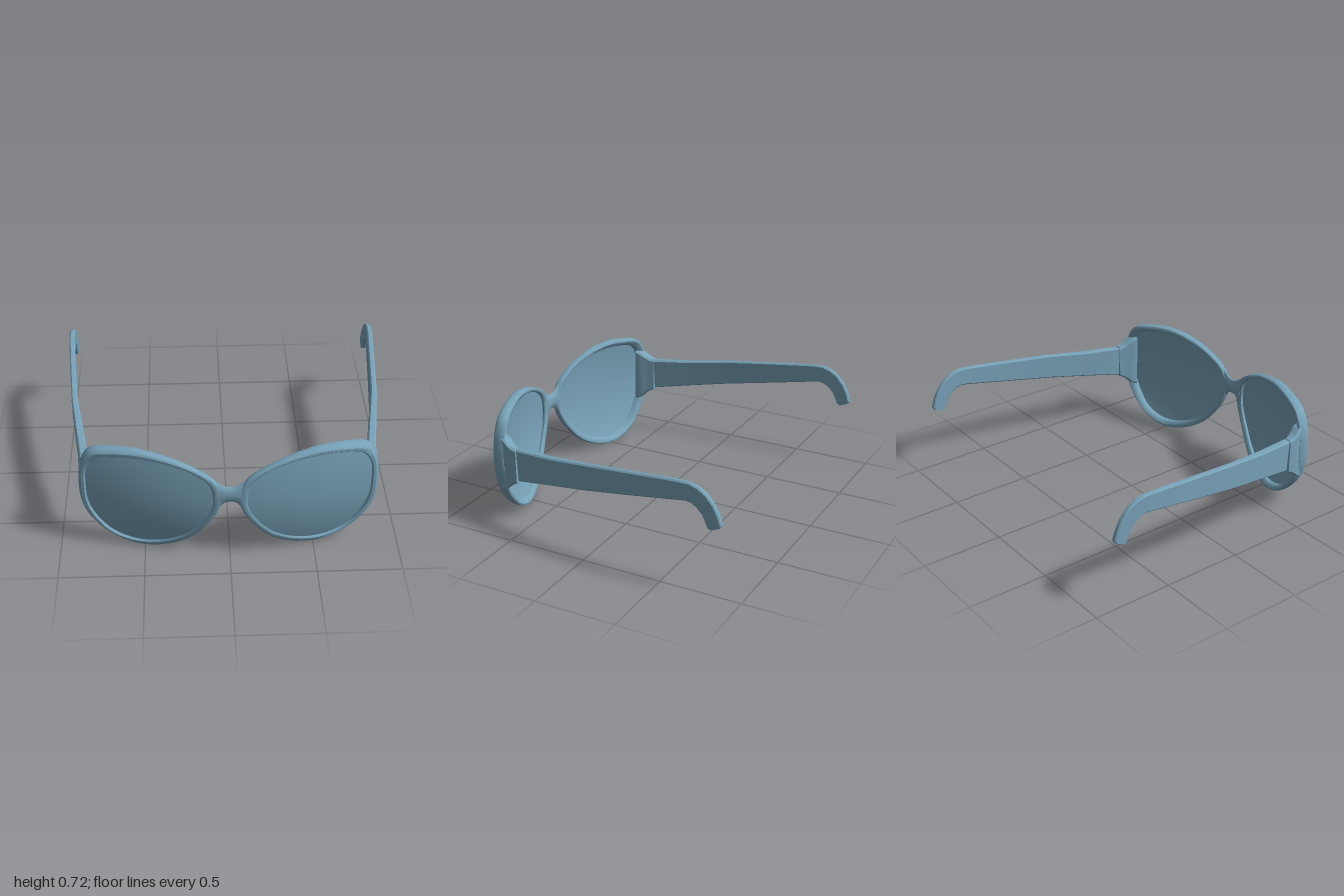
import * as THREE from 'three';
import { toCreasedNormals } from 'three/addons/utils/BufferGeometryUtils.js';

const V = (x, y, z) => new THREE.Vector3(x, y, z);

// Skin a list of point loops into a solid; closed joins last loop to first, otherwise ends are capped.
function loft(rings, closed = false, crease = 0.6) {
  const n = rings[0].length, m = rings.length, pts = rings.flat(), tris = [];
  for (let i = 0; i < (closed ? m : m - 1); i++) {
    for (let j = 0; j < n; j++) {
      const a = i * n + j, b = i * n + (j + 1) % n;
      const c = ((i + 1) % m) * n + (j + 1) % n, d = ((i + 1) % m) * n + j;
      tris.push([a, b, c], [a, c, d]);
    }
  }
  if (!closed) {
    for (const [start, last] of [[0, false], [(m - 1) * n, true]]) {
      const mid = V(0, 0, 0);
      for (let j = 0; j < n; j++) mid.addScaledVector(pts[start + j], 1 / n);
      const k = pts.push(mid) - 1;
      for (let j = 0; j < n; j++) {
        const a = start + j, b = start + (j + 1) % n;
        tris.push(last ? [a, b, k] : [b, a, k]);
      }
    }
  }
  // Turn the solid outward if its signed volume is negative
  const origin = pts[0], p = V(0, 0, 0), q = V(0, 0, 0), r = V(0, 0, 0);
  let volume = 0;
  for (const [a, b, c] of tris) {
    p.subVectors(pts[a], origin); q.subVectors(pts[b], origin); r.subVectors(pts[c], origin);
    volume += p.dot(q.cross(r));
  }
  if (volume < 0) tris.forEach((t) => t.reverse());
  const g = new THREE.BufferGeometry().setFromPoints(pts);
  g.setIndex(tris.flat());
  return toCreasedNormals(g, crease);
}

// Wrap-around curve of the front: z at the middle of the frame
const faceZ = (x, y) => {
  const dy = y - 0.42;
  return 0.845 - 0.26 * x * x - (dy > 0 ? 0.3 : 0.45) * dy * dy;
};

// Matching outlines of the rim (outer) and the lens opening (inner)
const outerPts = [[.05, .45], [.085, .55], [.18, .62], [.32, .68], [.51, .718], [.67, .707], [.8, .67],
  [.855, .58], [.872, .43], [.86, .29], [.81, .18], [.7, .065], [.55, .003], [.4, .02], [.25, .1], [.13, .24], [.065, .36]];
const innerPts = [[.1, .44], [.12, .53], [.2, .6], [.33, .65], [.5, .675], [.65, .665], [.77, .63],
  [.82, .55], [.83, .42], [.82, .3], [.77, .19], [.68, .09], [.55, .045], [.42, .06], [.28, .13], [.17, .25], [.11, .36]];
const outline = (list) => {
  const curve = new THREE.CatmullRomCurve3(list.map(([x, y]) => V(x, y, 0)), true, 'centripetal');
  return Array.from({ length: 68 }, (_, i) => curve.getPoint(i / 68));
};
const outer = outline(outerPts), inner = outline(innerPts);

// Rounded rim section: u runs from outer to inner edge, w across the thickness
const rimSection = [[0, 0.4], [0.12, 0.8], [0.4, 1], [0.8, 0.9], [1, 0.6], [1, -0.6], [0.8, -0.9], [0.4, -1], [0.12, -0.8], [0, -0.4]];

function rim(s) {
  return loft(outer.map((o, i) => {
    const h = 0.022 + 0.018 * THREE.MathUtils.smoothstep(o.x, 0.1, 0.85);
    return rimSection.map(([u, w]) => {
      const p = o.clone().lerp(inner[i], u);
      return V(s * p.x, p.y, faceZ(p.x, p.y) + w * h);
    });
  }), true);
}

// Thin domed lens: loops run from the back centre to the edge and return over the front
function lens(s) {
  const steps = [0.02, 0.25, 0.5, 0.75, 0.9, 1.02];
  const layer = (k, offset) => inner.map((p) => {
    const x = 0.48 + (p.x - 0.48) * k, y = 0.37 + (p.y - 0.37) * k;
    return V(s * x, y, faceZ(x, y) + 0.008 + offset);
  });
  return loft([...steps.map((k) => layer(k, -0.006)), ...steps.reverse().map((k) => layer(k, 0.006))]);
}

// Box-like section with cut corners between low and high corners in x and y
const chamfered = (x0, x1, y0, y1, z, c) => [
  [x0 + c, y0], [x1 - c, y0], [x1, y0 + c], [x1, y1 - c],
  [x1 - c, y1], [x0 + c, y1], [x0, y1 - c], [x0, y0 + c],
].map(([x, y]) => V(x, y, z));

// Hinge block: z, inner x, outer x, bottom y, top y
const hingeStations = [[.648, .785, .853, .23, .59], [.61, .79, .866, .25, .575], [.585, .802, .872, .275, .555],
  [.56, .81, .875, .295, .54], [.525, .82, .875, .312, .53]];
const hinge = (s) => loft(hingeStations.map(([z, x0, x1, y0, y1]) =>
  chamfered(x0, x1, y0, y1, z, 0.012).map((p) => V(s * p.x, p.y, p.z))));

// Arm: centre x, half width, top (z, y), bottom (z, y); the end curls down into a hook
const armStations = [
  [.845, .025, .522, .528, .512, .328], [.885, .023, .27, .548, .27, .373], [.927, .019, 0, .583, 0, .42],
  [.953, .018, -.3, .616, -.3, .473], [.977, .017, -.6, .647, -.6, .528], [.978, .017, -.67, .648, -.65, .536],
  [.978, .017, -.725, .632, -.685, .53], [.978, .017, -.775, .6, -.72, .507], [.978, .017, -.82, .548, -.75, .475],
  [.978, .017, -.85, .49, -.77, .435], [.978, .017, -.868, .435, -.782, .405], [.978, .017, -.86, .42, -.797, .395],
];
const arm = (s) => loft(armStations.map(([cx, w, zt, yt, zb, yb]) => {
  const c = 0.008, height = Math.hypot(zt - zb, yt - yb);
  return chamfered(-w, w, 0, height, 0, c).map((p) => {
    const t = p.y / height;
    return V(s * (cx + p.x), yb + (yt - yb) * t, zb + (zt - zb) * t);
  });
}));

// Bridge: oval sections flaring from the middle into both rims (x, bottom y, top y)
function bridge() {
  const half = [[0, .413, .51], [.025, .41, .513], [.045, .395, .522], [.065, .365, .538], [.088, .34, .555]];
  const all = [...half.slice(1).reverse().map(([x, a, b]) => [-x, a, b]), ...half];
  return loft(all.map(([x, y0, y1]) => Array.from({ length: 14 }, (_, i) => {
    const a = (i / 14) * Math.PI * 2;
    const y = (y0 + y1) / 2 + Math.sin(a) * (y1 - y0) / 2;
    return V(x, y, faceZ(x, y) + Math.cos(a) * 0.021);
  })));
}

export function createModel() {
  const group = new THREE.Group();
  group.name = 'sunglasses';
  const material = new THREE.MeshStandardMaterial({ color: 0x78a2b8 });
  material.name = 'steel blue';
  const add = (name, geometry) => {
    const mesh = new THREE.Mesh(geometry, material);
    mesh.name = name;
    group.add(mesh);
  };
  add('bridge', bridge());
  for (const [side, s] of [['left', 1], ['right', -1]]) {
    add(side + 'Rim', rim(s));
    add(side + 'Lens', lens(s));
    add(side + 'Hinge', hinge(s));
    add(side + 'Arm', arm(s));
  }
  return group;
}
